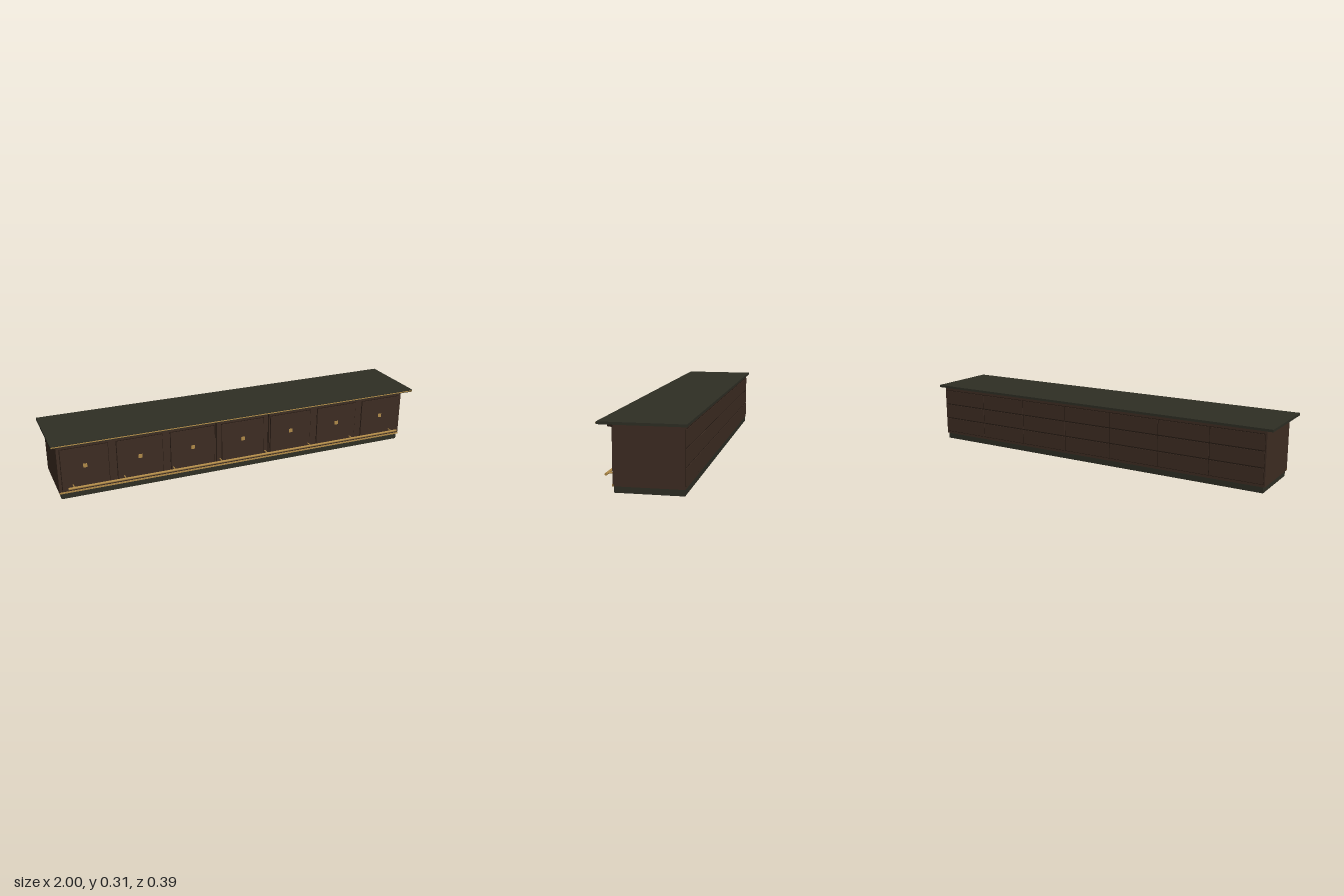
import * as THREE from 'three';

const mat = (name, color) => Object.assign(new THREE.MeshStandardMaterial({ color }), { name });

export function createModel() {
  const wood = mat('brown wood', 0x3d2c22);
  const dark = mat('dark wood', 0x241912);
  const slate = mat('dark olive stone', 0x2e2e24);
  const brass = mat('brass', 0xb08a48);

  const model = new THREE.Group();
  model.name = 'counter';

  // box given by its x, y and z ranges
  const box = (name, material, [x0, x1], [y0, y1], [z0, z1]) => {
    const mesh = new THREE.Mesh(new THREE.BoxGeometry(x1 - x0, y1 - y0, z1 - z0), material);
    mesh.position.set((x0 + x1) / 2, (y0 + y1) / 2, (z0 + z1) / 2);
    mesh.name = name;
    model.add(mesh);
    return mesh;
  };
  const rod = (name, radius, length, x, y, z, axis) => {
    const mesh = new THREE.Mesh(new THREE.CylinderGeometry(radius, radius, length, 12), brass);
    mesh.rotation[axis === 'x' ? 'z' : 'x'] = Math.PI / 2;
    mesh.position.set(x, y, z);
    mesh.name = name;
    model.add(mesh);
  };

  // main masses
  box('plinth', slate, [-0.96, 0.96], [0, 0.03], [-0.178, 0.132]);
  box('body', wood, [-0.968, 0.968], [0.03, 0.3], [-0.181, 0.135]);
  box('worktop', slate, [-1, 1], [0.301, 0.313], [-0.195, 0.193]);
  box('worktopEdge', brass, [-0.998, 0.998], [0.305, 0.309], [0.192, 0.196]);

  // front trim
  box('frontMoulding', dark, [-0.982, 0.982], [0.289, 0.3], [0.13, 0.149]);
  box('baseStrip', brass, [-0.968, 0.968], [0.03, 0.038], [0.13, 0.138]);
  for (const x of [-0.148, 0.148]) {
    box('frontJoint', dark, [x - 0.003, x + 0.003], [0.039, 0.289], [0.134, 0.1375]);
  }

  // seven raised front panels with square studs
  for (let i = -3; i <= 3; i++) {
    const x = i * 0.278;
    box('panelBorder', dark, [x - 0.12, x + 0.12], [0.04, 0.265], [0.134, 0.1365]);
    box('frontPanel', wood, [x - 0.117, x + 0.117], [0.042, 0.262], [0.134, 0.14]);
    box('panelStud', brass, [x - 0.01, x + 0.01], [0.155, 0.175], [0.139, 0.1425]);
  }

  // foot rail on brackets
  rod('footRail', 0.006, 1.86, 0, 0.071, 0.176, 'x');
  for (let i = 0; i < 8; i++) {
    rod('railBracket', 0.003, 0.042, -0.9 + (i * 1.8) / 7, 0.071, 0.155, 'z');
  }

  // back drawers, seven columns by three rows, over a dark recess
  box('backRecess', dark, [-0.962, 0.962], [0.042, 0.286], [-0.1815, -0.18]);
  const w = 1.924 / 7, h = 0.244 / 3;
  for (let c = 0; c < 7; c++) {
    for (let r = 0; r < 3; r++) {
      const x = -0.962 + c * w, y = 0.042 + r * h;
      box('backDrawer', wood, [x + 0.002, x + w - 0.002], [y + 0.003, y + h - 0.003], [-0.184, -0.18]);
    }
  }
  return model;
}
